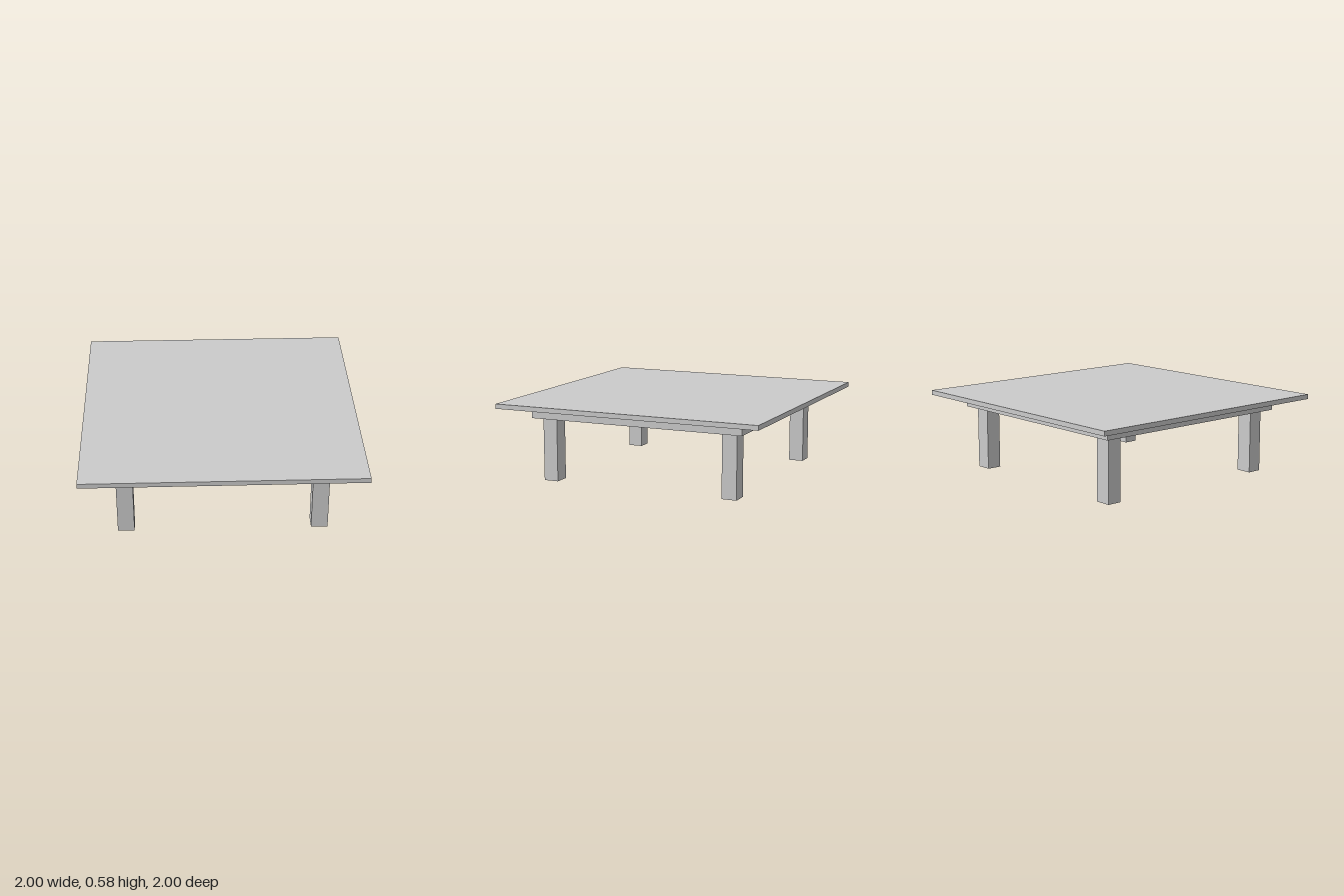
import * as THREE from 'three';

const material = new THREE.MeshStandardMaterial({ color: 0xcccccc, flatShading: true });

// Box spanning the given heights, centred on (x, z)
function box(name, width, depth, bottom, top, x = 0, z = 0) {
  const mesh = new THREE.Mesh(new THREE.BoxGeometry(width, top - bottom, depth), material);
  mesh.name = name;
  mesh.position.set(x, (bottom + top) / 2, z);
  return mesh;
}

function square(PathType, half) {
  const path = new PathType();
  path.moveTo(-half, -half);
  path.lineTo(half, -half);
  path.lineTo(half, half);
  path.lineTo(-half, half);
  path.closePath();
  return path;
}

export function createModel() {
  const table = new THREE.Group();
  table.name = 'table';

  // Square top with a very thin panel beneath it
  table.add(box('tableTop', 2, 2, 0.55, 0.585));
  table.add(box('undersidePanel', 1.92, 1.92, 0.546, 0.55));

  // Open square apron frame
  const frame = square(THREE.Shape, 0.812);
  frame.holes.push(square(THREE.Path, 0.753));
  const apronGeometry = new THREE.ExtrudeGeometry(frame, { depth: 0.083, bevelEnabled: false });
  apronGeometry.rotateX(-Math.PI / 2);
  const apron = new THREE.Mesh(apronGeometry, material);
  apron.name = 'apron';
  apron.position.y = 0.465;
  table.add(apron);

  // Legs set into the inner corners of the apron
  for (const [sideZ, endName] of [[1, 'front'], [-1, 'back']]) {
    for (const [sideX, sideName] of [[1, 'Left'], [-1, 'Right']]) {
      table.add(box(`${endName}${sideName}Leg`, 0.119, 0.11, 0, 0.547, sideX * 0.693, sideZ * 0.698));
    }
  }

  return table;
}
